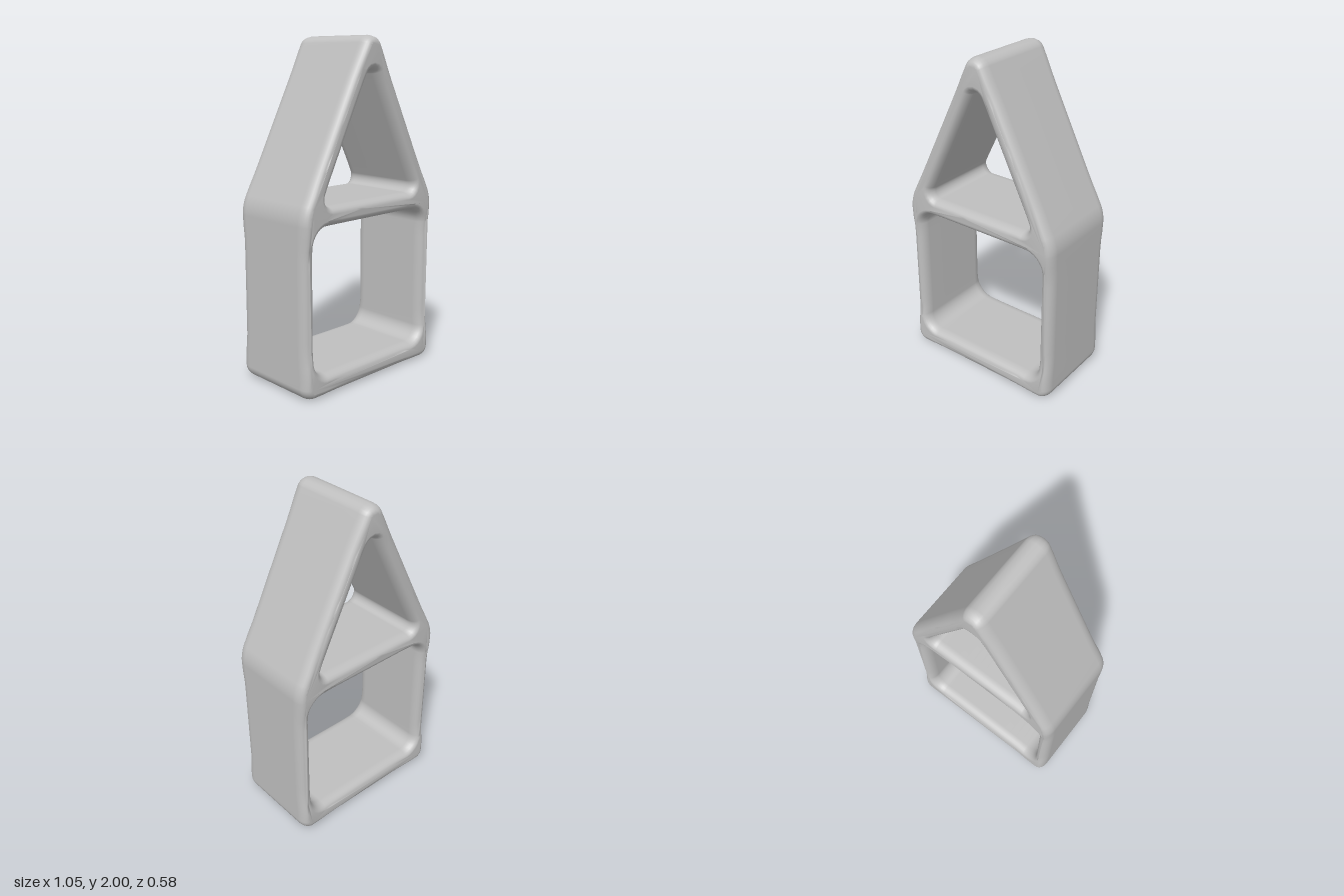
import * as THREE from 'three';
import { mergeVertices } from 'three/addons/utils/BufferGeometryUtils.js';

const HALF_DEPTH = 0.288;
const BEVEL_DEPTH = 0.065;
const BEVEL_WIDTH = 0.04;

// Polygon with arc-rounded corners [x, y, radius] and subdivided straight runs
function roundedLoop(corners, arcSteps = 8, runSteps = 14) {
  const arcs = corners.map(([x, y, r], i) => {
    const p = new THREE.Vector2(x, y);
    const toward = (k) => {
      const q = corners[(k + corners.length) % corners.length];
      return new THREE.Vector2(q[0], q[1]).sub(p).normalize();
    };
    const a = toward(i - 1), b = toward(i + 1);
    const half = Math.acos(a.dot(b)) / 2;
    const centre = a.clone().add(b).setLength(r / Math.sin(half)).add(p);
    const t = r / Math.tan(half);
    const start = a.multiplyScalar(t).add(p).sub(centre);
    const end = b.multiplyScalar(t).add(p).sub(centre);
    const points = [];
    for (let k = 0; k <= arcSteps; k++) {
      points.push(start.clone().lerp(end, k / arcSteps).setLength(r).add(centre));
    }
    return points;
  });
  const loop = [];
  arcs.forEach((arc, i) => {
    loop.push(...arc);
    const from = arc[arc.length - 1], to = arcs[(i + 1) % arcs.length][0];
    for (let k = 1; k < runSteps; k++) loop.push(from.clone().lerp(to, k / runSteps));
  });
  return loop;
}

// The depth swells slightly where the bars meet
function swellJoints(geometry) {
  const joints = [[0.48, 0.06], [0.48, 1.04], [0, 1.95]];
  const pos = geometry.attributes.position;
  for (let i = 0; i < pos.count; i++) {
    const x = Math.abs(pos.getX(i)), y = pos.getY(i);
    const d = Math.min(...joints.map(([jx, jy]) => Math.hypot(x - jx, y - jy)));
    const amount = y > 0.14 && y < 0.96 ? 0.015 : 0.006;
    const inset = amount * THREE.MathUtils.smoothstep(d, 0.07, 0.22);
    pos.setZ(i, pos.getZ(i) * (1 - inset / HALF_DEPTH));
  }
}

export function createModel() {
  const model = new THREE.Group();
  model.name = 'houseFrame';
  const grey = new THREE.MeshStandardMaterial({ color: 0xbfbfbf });
  grey.name = 'grey';

  // House outline with a square room and a triangular attic cut through
  const outline = new THREE.Shape(roundedLoop([
    [-0.525, 0, 0.07], [0.525, 0, 0.07], [0.525, 1.05, 0.25],
    [0, 2.09, 0.074], [-0.525, 1.05, 0.25],
  ]));
  outline.holes.push(new THREE.Path(roundedLoop([
    [-0.44, 0.12, 0.09], [-0.44, 0.97, 0.09], [0.44, 0.97, 0.09], [0.44, 0.12, 0.09],
  ])));
  outline.holes.push(new THREE.Path(roundedLoop([
    [-0.387, 1.08, 0.045], [0, 1.86, 0.04], [0.387, 1.08, 0.045],
  ])));

  // Extrude inside the outline so the rounded rims cut into the bars
  const depth = 2 * (HALF_DEPTH - BEVEL_DEPTH);
  let geometry = new THREE.ExtrudeGeometry(outline, {
    depth, steps: 1, bevelEnabled: true, bevelSegments: 6,
    bevelThickness: BEVEL_DEPTH, bevelSize: BEVEL_WIDTH, bevelOffset: -BEVEL_WIDTH,
  });
  geometry.translate(0, 0, -depth / 2);
  swellJoints(geometry);

  // Weld for smooth shading
  geometry.deleteAttribute('uv');
  geometry.deleteAttribute('normal');
  geometry.clearGroups();
  geometry = mergeVertices(geometry, 1e-4);
  geometry.computeVertexNormals();

  const frame = new THREE.Mesh(geometry, grey);
  frame.name = 'roundedFrame';
  model.add(frame);
  return model;
}
